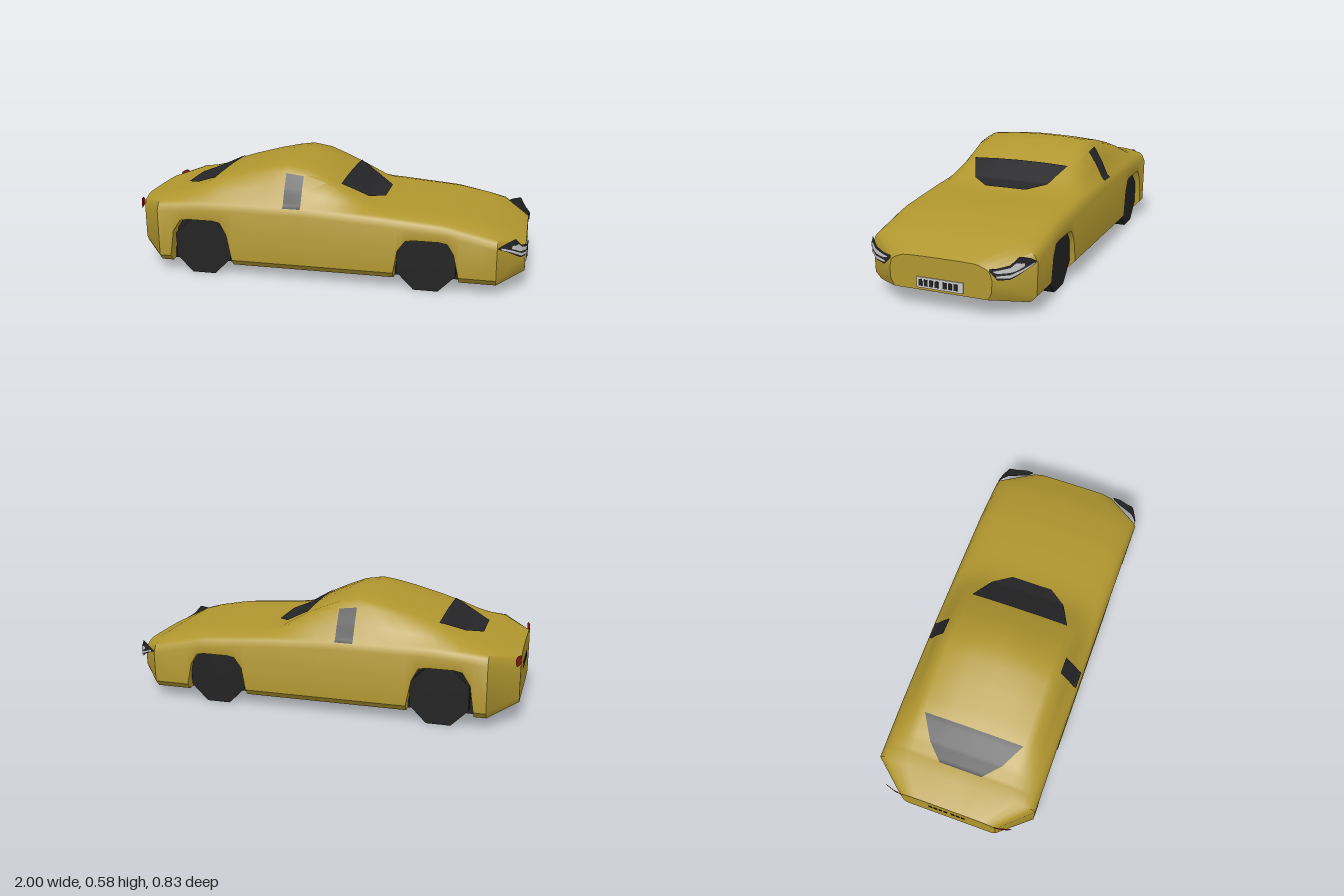
import * as THREE from 'three';
import { toCreasedNormals } from 'three/addons/utils/BufferGeometryUtils.js';

const { lerp, inverseLerp, clamp } = THREE.MathUtils;
const mat = (name, color, side = THREE.FrontSide) => {
  const m = new THREE.MeshStandardMaterial({ color, side });
  m.name = name;
  return m;
};

// Piecewise-linear value from a list of [key, ...values]
function along(list, key, k = 1) {
  let i = 0;
  while (i < list.length - 2 && list[i + 1][0] < key) i++;
  const a = list[i], b = list[i + 1];
  return lerp(a[k], b[k], clamp(inverseLerp(a[0], b[0], key), 0, 1));
}

// Side-view curves as [x, y]: centre line, shoulder and floor; plan width as [x, scale]
const ROOF = [
  [-1, 0.355], [-0.86, 0.395], [-0.79, 0.404], [-0.72, 0.425], [-0.62, 0.47], [-0.53, 0.502],
  [-0.38, 0.546], [-0.28, 0.57], [-0.2, 0.583], [-0.1, 0.565], [0, 0.522], [0.07, 0.487],
  [0.14, 0.445], [0.2, 0.408], [0.27, 0.388], [0.5, 0.374], [0.63, 0.363], [0.78, 0.336],
  [0.86, 0.311], [0.99, 0.25],
];
const SHOULDER = [[-1, 0.33], [-0.86, 0.37], [-0.6, 0.39], [-0.1, 0.39], [0.27, 0.37], [0.6, 0.343], [0.86, 0.285], [0.99, 0.225]];
const FLOOR = [[-1, 0.1], [-0.86, 0.055], [0.86, 0.055], [0.99, 0.09]];
const WIDTH = [[-1, 0.61], [-0.86, 1], [0.86, 1], [0.99, 0.61]];

// Wheel arches as [rear x, front x, top y], sharing one outline of [length, height] fractions
const ARCHES = [[-0.8, -0.47, 0.29], [0.36, 0.68, 0.262]];
const ARCH_SHAPE = [[0, 0], [0.06, 0.66], [0.18, 0.96], [0.3, 1], [0.7, 1], [0.82, 0.96], [0.92, 0.66], [1, 0]];
const WELL_Z = 0.34;
const SILL = 0.032;

const XS = [
  ...ROOF.map(([x]) => x),
  ...ARCHES.flatMap(([a, b]) => ARCH_SHAPE.map(([t]) => lerp(a, b, t))),
].sort((a, b) => a - b);

// Half cross-section at x from floor edge to centre line, as [z, y]
function section(x) {
  const w = along(WIDTH, x), floor = along(FLOOR, x), s = along(SHOULDER, x), top = along(ROOF, x);
  const h = top - s, sill = floor + SILL;
  const arch = ARCHES.find(([a, b]) => x >= a && x <= b);
  const open = arch ? lerp(sill, arch[2], along(ARCH_SHAPE, inverseLerp(arch[0], arch[1], x))) : sill;
  return [
    [0.38, floor], [0.41, sill], [0.41, open], [0.415, s - 0.045], [0.4, s - 0.013],
    [0.385, s], [0.352, s + 0.38 * h], [0.305, s + 0.8 * h], [0.265, s + 0.92 * h],
    [0.13, s + 0.98 * h], [0, top],
  ].map(([z, y]) => [z * w, y]);
}

// Skin height at (x, z) and skin half width at (x, y)
function lookup(rows, key, value) {
  for (let r = 3; r < rows.length - 1; r++) {
    const a = rows[r], b = rows[r + 1];
    if ((value - a[key]) * (value - b[key]) <= 0 && a[key] !== b[key]) {
      return lerp(a[1 - key], b[1 - key], (value - a[key]) / (b[key] - a[key]));
    }
  }
  return rows[3][1 - key];
}
const skinY = (x, z) => lookup(section(x), 0, Math.abs(z));
const skinZ = (x, y) => lookup(section(x), 1, y);

// Collects triangles, mirrored to both sides
class Skin {
  constructor() { this.p = []; }
  tri(a, b, c) {
    const m = ([x, y, z]) => [x, y, -z];
    this.p.push(...a, ...b, ...c, ...m(a), ...m(c), ...m(b));
  }
  quad(a, b, c, d) { this.tri(a, b, c); this.tri(a, c, d); }
  geometry() {
    const g = new THREE.BufferGeometry();
    g.setAttribute('position', new THREE.Float32BufferAttribute(this.p, 3));
    return toCreasedNormals(g, 0.62);
  }
}

// Curved thin sheet from f(u, v) -> [x, y, z]
function sheet(nu, nv, f) {
  const g = new THREE.PlaneGeometry(1, 1, nu, nv);
  const p = g.attributes.position;
  for (let i = 0; i < p.count; i++) p.setXYZ(i, ...f(p.getX(i) + 0.5, p.getY(i) + 0.5));
  g.computeVertexNormals();
  return g;
}

export function createModel() {
  const car = new THREE.Group();
  car.name = 'car';
  const gold = mat('gold paint', 0xb0962f);
  const black = mat('black rubber', 0x222222);
  const glass = mat('dark glass', 0x262628, THREE.DoubleSide);
  const silver = mat('light silver', 0xc8c8c8, THREE.DoubleSide);
  const red = mat('red lens', 0x9c1a1a, THREE.DoubleSide);
  const add = (name, geometry, material) => {
    const mesh = new THREE.Mesh(geometry, material);
    mesh.name = name;
    car.add(mesh);
    return mesh;
  };

  // Body shell, floor and wheel wells
  const body = new Skin(), floor = new Skin(), wells = new Skin();
  const rings = XS.map((x) => section(x).map(([z, y]) => [x, y, z]));
  const mid = (ring) => [ring[0][0], ring[0][1], 0];
  for (let i = 0; i < rings.length - 1; i++) {
    const p = rings[i], q = rings[i + 1];
    const inArch = ARCHES.some(([a, b]) => XS[i] >= a && XS[i + 1] <= b);
    for (let r = 0; r < p.length - 1; r++) {
      if (r === 1 || (r === 0 && inArch)) continue;
      body.quad(p[r], q[r], q[r + 1], p[r + 1]);
    }
    floor.quad(mid(p), mid(q), q[0], p[0]);
    if (inArch) {
      const deep = ([x, y]) => [x, y, WELL_Z];
      body.quad(q[2], p[2], deep(p[2]), deep(q[2]));
      wells.quad(deep(p[0]), deep(q[0]), deep(q[2]), deep(p[2]));
    }
  }
  // Short upright returns at the foot of each arch
  for (const [a, b] of ARCHES) for (const x of [a, b]) {
    const [low, sill] = section(x);
    const foot = [[x, low[1], WELL_Z], [x, low[1], low[0]], [x, sill[1], sill[0]], [x, sill[1], WELL_Z]];
    body.quad(...(x === b ? foot : foot.reverse()));
  }
  // Flat nose and tail faces
  for (const ring of [rings[0], rings[rings.length - 1]]) {
    const x = ring[0][0], c = [x, 0.18, 0], loop = [mid(ring), ...ring];
    for (let k = 0; k < loop.length - 1; k++) {
      if (x > 0) body.tri(c, loop[k + 1], loop[k]);
      else body.tri(c, loop[k], loop[k + 1]);
    }
  }
  add('body', body.geometry(), gold);
  add('underside', floor.geometry(), black);
  add('wheelWells', wells.geometry(), black);

  // Front and rear windows follow the skin; outlines are [x, half width]
  const windows = {
    windscreen: [[0.07, 0.26], [0.2, 0.2], [0.27, 0.11]],
    rearWindow: [[-0.8, 0.11], [-0.72, 0.19], [-0.6, 0.26]],
  };
  for (const [name, outline] of Object.entries(windows)) {
    add(name, sheet(20, 24, (u, v) => {
      const x = lerp(outline[0][0], outline[2][0], u);
      const z = (v * 2 - 1) * along(outline, x);
      return [x, skinY(x, z) + 0.006, z];
    }), glass);
  }

  // Front plate and plain blocks at both ends
  const plate = (name, x, y, z, h, w, m) =>
    add(name, new THREE.BoxGeometry(0.006, h, w), m).position.set(x, y, z);
  plate('frontPlate', 0.992, 0.127, 0, 0.05, 0.23, silver);
  for (const z of [0.095, 0.068, 0.041, 0.014, -0.025, -0.052, -0.079]) {
    plate('frontPlateBlock', 0.995, 0.127, z, 0.03, 0.018, black);
    plate('rearPlateBlock', -0.999, 0.25, -z, 0.035, 0.018, black);
  }

  // Lamp columns [z, lower y, upper y], bent round the corner by an arc [z, x]
  const noseArc = [[0.24, 0.995], [0.28, 0.99], [0.33, 0.968], [0.37, 0.938], [0.395, 0.9], [0.412, 0.86]];
  const tailArc = [[0.245, -1], [0.28, -0.997], [0.335, -0.98]];
  const lamps = [
    ['headlampHousing', glass, noseArc, 0,
      [[0.245, 0.222, 0.235], [0.28, 0.187, 0.242], [0.33, 0.191, 0.256], [0.365, 0.212, 0.294], [0.395, 0.236, 0.276], [0.411, 0.249, 0.252]]],
    ['headlampLens', silver, noseArc, 0.005,
      [[0.258, 0.222, 0.23], [0.28, 0.217, 0.236], [0.33, 0.222, 0.248], [0.35, 0.228, 0.267], [0.38, 0.245, 0.262]]],
    ['headlampStrip', silver, noseArc, 0.005,
      [[0.272, 0.196, 0.21], [0.33, 0.198, 0.216], [0.37, 0.22, 0.235], [0.406, 0.245, 0.255]]],
    ['tailLamp', red, tailArc, 0,
      [[0.245, 0.315, 0.33], [0.27, 0.303, 0.352], [0.315, 0.303, 0.356], [0.333, 0.325, 0.345]]],
  ];

  for (const side of [1, -1]) {
    // Lamps
    for (const [name, material, arc, lift, cols] of lamps) {
      add(name, sheet(24, 1, (u, v) => {
        const z = lerp(cols[0][0], cols[cols.length - 1][0], u);
        const y = lerp(along(cols, z, 1), along(cols, z, 2), v);
        return [along(arc, z) + lift, y, side * (z + lift * 0.6)];
      }), material);
    }
    // Side window
    add('sideWindow', sheet(4, 12, (u, v) => {
      const x = lerp(-0.2, -0.11, u), y = 0.378 + (0.16 - 0.012 * u) * v;
      return [x, y, side * (skinZ(x, y) + 0.005)];
    }), glass);
    // Eight-sided wheels
    for (const x of [-0.63, 0.52]) {
      const wheel = new THREE.CylinderGeometry(0.157, 0.157, 0.09, 8).rotateY(Math.PI / 8).rotateX(Math.PI / 2);
      add(x > 0 ? 'frontWheel' : 'rearWheel', toCreasedNormals(wheel, 0.5), black).position.set(x, 0.145, side * 0.34);
    }
  }
  return car;
}
